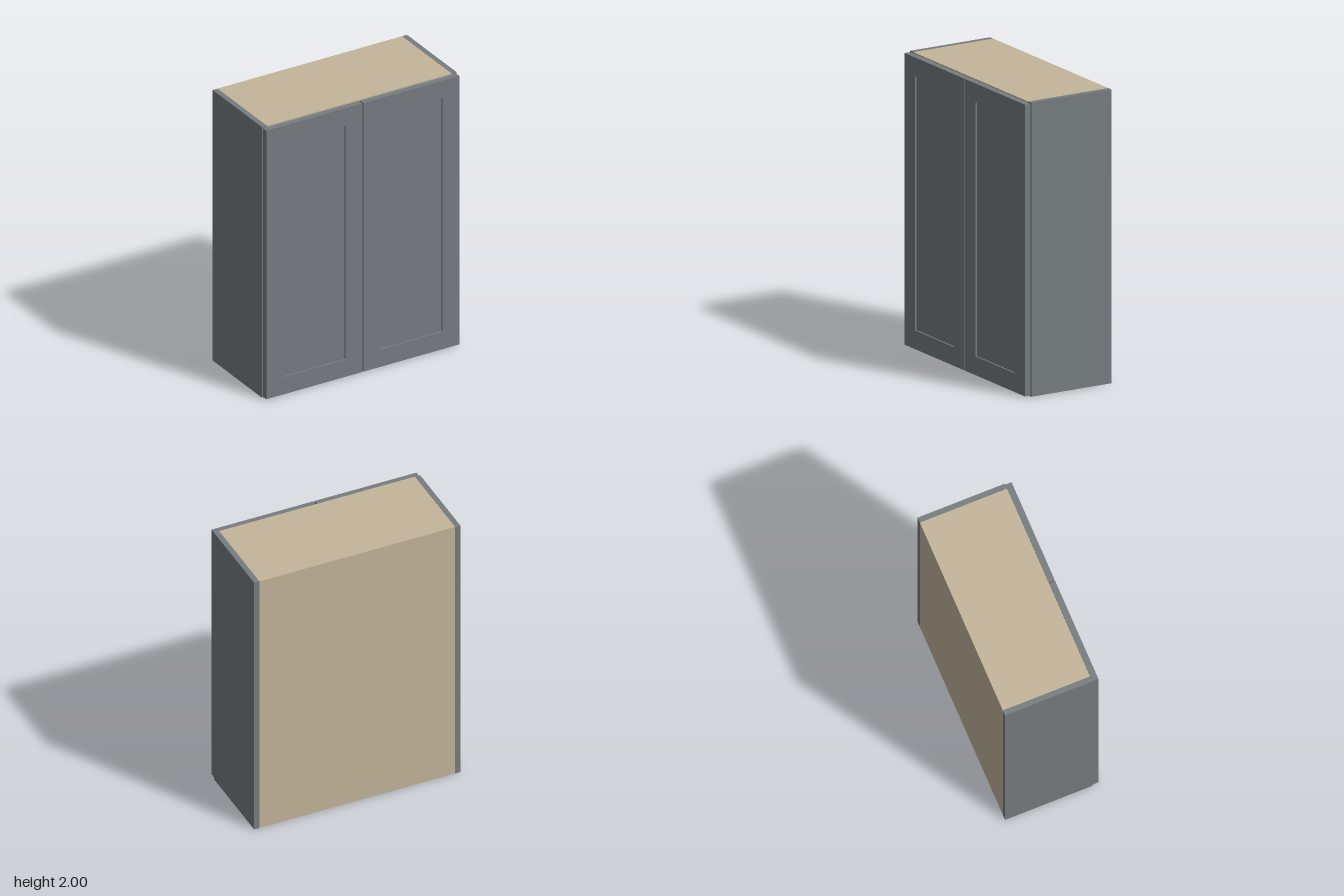
import * as THREE from 'three';

const paint = new THREE.MeshStandardMaterial({ color: 0x777c80 });
const wood = new THREE.MeshStandardMaterial({ color: 0xc3b59a });

// Box given by its limits on each axis
function board(name, material, [x0, x1], [y0, y1], [z0, z1]) {
  const mesh = new THREE.Mesh(new THREE.BoxGeometry(x1 - x0, y1 - y0, z1 - z0), material);
  mesh.position.set((x0 + x1) / 2, (y0 + y1) / 2, (z0 + z1) / 2);
  mesh.name = name;
  return mesh;
}

function rectangle(path, x0, x1, y0, y1) {
  path.moveTo(x0, y0);
  path.lineTo(x1, y0);
  path.lineTo(x1, y1);
  path.lineTo(x0, y1);
  path.closePath();
  return path;
}

// Shaker door: a frame around a recessed flat panel
function createDoor(name) {
  const door = new THREE.Group();
  door.name = name;
  const width = 0.738, height = 1.985, rail = 0.128, depth = 0.043;
  const w = width / 2, h = height / 2;
  const outline = rectangle(new THREE.Shape(), -w, w, -h, h);
  outline.holes.push(rectangle(new THREE.Path(), -w + rail, w - rail, -h + rail, h - rail));
  const frame = new THREE.Mesh(
    new THREE.ExtrudeGeometry(outline, { depth, bevelEnabled: false }), paint);
  frame.name = 'doorFrame';
  door.add(frame, board('doorPanel', paint,
    [-w + rail, w - rail], [-h + rail, h - rail], [0.006, depth - 0.012]));
  return door;
}

export function createModel() {
  const cabinet = new THREE.Group();
  cabinet.name = 'wallCabinet';
  const inner = 0.709, outer = 0.747, back = -0.332, front = 0.287, t = 0.038;

  // Carcass
  cabinet.add(
    board('leftSide', paint, [inner, outer], [0, 2], [back, front]),
    board('rightSide', paint, [-outer, -inner], [0, 2], [back, front]),
    board('backPanel', wood, [-inner, inner], [0, 2], [back, back + 0.02]),
  );
  for (const [name, y] of [['bottomPanel', 0], ['shelf', 1 - t / 2], ['topPanel', 2 - t]]) {
    cabinet.add(board(name, wood, [-inner, inner], [y, y + t], [back + 0.02, front]));
  }

  // Pair of doors
  for (const side of [-1, 1]) {
    const door = createDoor(side > 0 ? 'leftDoor' : 'rightDoor');
    door.position.set(side * 0.373, 1, 0.289);
    cabinet.add(door);
  }
  return cabinet;
}
